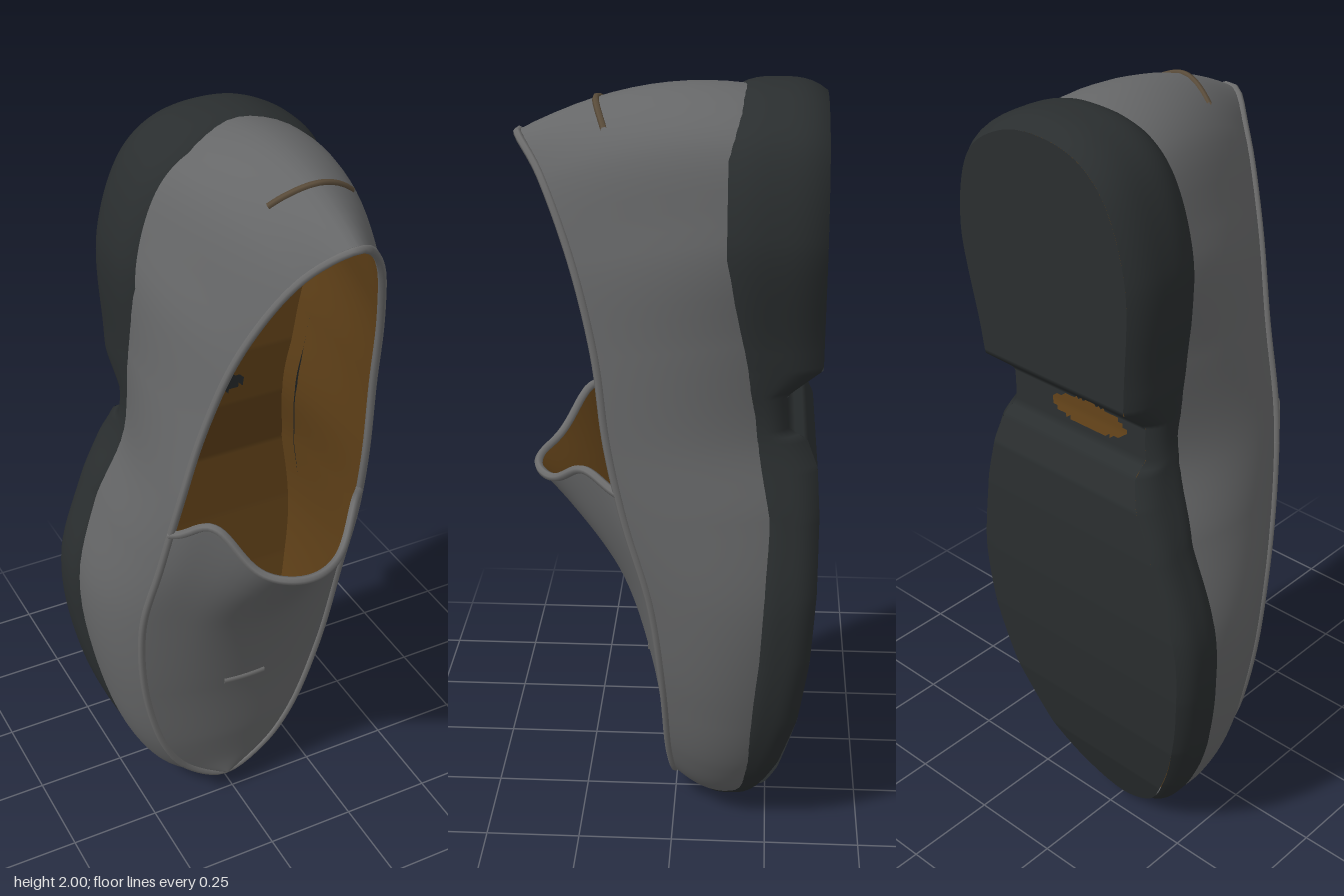
import * as THREE from 'three';
import { ParametricGeometry } from 'three/addons/geometries/ParametricGeometry.js';

const mat = (color) => new THREE.MeshStandardMaterial({ color, side: THREE.DoubleSide });
const LEATHER = mat(0x666768), EDGE = mat(0x6e6e6e), SOLE = mat(0x2a2e2f);
const LINING = mat(0x5f4018), STITCH = mat(0x5a4c3a);
const { lerp, smoothstep, clamp } = THREE.MathUtils;
const loop = (points) => new THREE.CatmullRomCurve3(points.map(([x, y, z = 0]) => new THREE.Vector3(x, y, z)), true);

// Matching stations round the foot: toe, left side, heel, right side
const lower = loop([
  [-.02, .03, -.2], [.12, .08, -.2], [.22, .22, -.22], [.29, .45, -.25], [.33, .75, -.27],
  [.31, 1, -.27], [.275, 1.2, -.25], [.29, 1.45, -.25], [.32, 1.7, -.25], [.27, 1.9, -.25],
  [.09, 1.975, -.25], [-.09, 1.9, -.25], [-.18, 1.7, -.25], [-.185, 1.45, -.25], [-.19, 1.2, -.25],
  [-.27, 1, -.27], [-.34, .75, -.27], [-.31, .45, -.25], [-.24, .22, -.22], [-.15, .08, -.2],
]);
const upper = loop([
  [-.02, .07, 0], [.1, .13, 0], [.18, .25, .01], [.26, .48, .02], [.3, .75, .05],
  [.305, .98, .11], [.3, 1.18, .15], [.293, 1.4, .175], [.272, 1.62, .225], [.21, 1.81, .3],
  [.12, 1.885, .36], [.02, 1.81, .3], [-.09, 1.62, .225], [-.163, 1.4, .175], [-.22, 1.18, .15],
  [-.255, .98, .11], [-.285, .75, .05], [-.27, .48, .02], [-.21, .25, .01], [-.13, .13, 0],
]);
const outline = loop([
  [-.02, 0], [.1, .05], [.2, .17], [.3, .42], [.35, .75], [.325, 1], [.29, 1.22], [.315, 1.42],
  [.365, 1.7], [.315, 1.9], [.2, 1.98], [.08, 2], [-.05, 1.975], [-.14, 1.9], [-.215, 1.7],
  [-.21, 1.42], [-.205, 1.22], [-.29, 1], [-.365, .75], [-.33, .42], [-.23, .17], [-.14, .05],
]);

// Direction away from the long axis of the foot
const outward = (p) => new THREE.Vector3(p.x - .03, p.y - clamp(p.y, .4, 1.6), 0).normalize();

// Side wall: a bulged strip from the lower to the upper loop
function wallPoint(u, v, inset, target) {
  const a = lower.getPoint(u % 1), out = outward(a);
  const bulge = .065 + .055 * smoothstep(a.y, 1.75, 1.95) - inset * 1.5;
  return target.copy(a).addScaledVector(out, -inset).lerp(upper.getPoint(u % 1), v)
    .addScaledVector(out, 2 * v * (1 - v) * bulge);
}

// Vamp: spans from seam to seam and rises to a tongue with two lobes
function vampPoint(k, t, inset, target) {
  const arch = Math.sin(Math.PI * t);
  const lobe = (centre) => Math.exp(-(((t - centre) / .1) ** 2));
  target.copy(upper.getPoint(1 - lerp(.003, .275, k))).lerp(upper.getPoint(lerp(.003, .265, k)), t);
  target.y += k ** 8 * (.095 * lobe(.14) + .055 * lobe(.87)) - .045 * k ** 4 * arch;
  target.z += (.012 + .215 * k ** 3 - inset) * arch;
  return target;
}

// Side profile of the sole as [y, z] pairs, without and with the heel block
const ARCH = [[0, -.21], [.2, -.28], [.4, -.325], [.6, -.35], [.8, -.36], [1, -.36], [1.2, -.3], [1.35, -.28], [2.1, -.28]];
const UNDERSIDE = [...ARCH.slice(0, 6), [1.12, -.352], [1.19, -.325], [1.215, -.28], [1.3, -.275], [1.37, -.357], [2.1, -.35]];
function profile(table, y) {
  const i = Math.max(1, table.findIndex(([py]) => py >= y));
  const [y0, z0] = table[i - 1], [y1, z1] = table[i];
  return lerp(z0, z1, clamp((y - y0) / (y1 - y0), 0, 1));
}

// Rounded edge running round sole and heel
function soleEdgePoint(u, v, inset, target) {
  target.copy(outline.getPoint(u % 1));
  const { y } = target;
  target.addScaledVector(outward(target), -inset * Math.abs(2 * v - 1) ** 3);
  target.z = lerp(profile(UNDERSIDE, y), profile(ARCH, y) + .15, v);
  return target;
}

// Plates spanning the outline from side to side
function acrossOutline(k, t, inset, target) {
  const half = lerp(.002, .498, k);
  const a = outline.getPoint(1 - half), b = outline.getPoint(half);
  a.addScaledVector(outward(a), -inset);
  b.addScaledVector(outward(b), -inset);
  return target.copy(a).lerp(b, t);
}
function treadPoint(k, t, inset, target) {
  acrossOutline(k, t, inset, target);
  target.z = profile(UNDERSIDE, target.y);
  return target;
}
function insolePoint(k, t, inset, target) {
  acrossOutline(k, t, inset, target);
  target.z = profile(ARCH, target.y) + .11;
  return target;
}

// Worn gap under the arch: drops the triangles inside an ellipse
function punch(geometry) {
  const p = geometry.attributes.position, index = geometry.index.array, kept = [];
  for (let i = 0; i < index.length; i += 3) {
    const tri = [index[i], index[i + 1], index[i + 2]];
    const mean = (get) => tri.reduce((sum, j) => sum + p[get](j), 0) / 3;
    if (((mean('getX') - .01) / .12) ** 2 + ((mean('getY') - 1.265) / .036) ** 2 > 1) kept.push(...tri);
  }
  geometry.setIndex(kept);
  return geometry;
}

export function createModel() {
  const model = new THREE.Group();
  const add = (name, geometry, material) => {
    const mesh = new THREE.Mesh(geometry, material);
    mesh.name = name;
    model.add(mesh);
  };
  const surface = (fn, inset, nu, nv) =>
    new ParametricGeometry((u, v, target) => fn(u, v, inset, target), nu, nv);
  const tube = (points, radius, closed = false) =>
    new THREE.TubeGeometry(new THREE.CatmullRomCurve3(points, closed), points.length * 2, radius, 6, closed);
  const sample = (n, fn) => Array.from({ length: n + 1 }, (_, i) => fn(i / n, new THREE.Vector3()));

  // Upper and lining
  add('sideWall', surface(wallPoint, 0, 120, 14), LEATHER);
  add('wallLining', surface(wallPoint, .022, 120, 14), LINING);
  add('vamp', surface(vampPoint, 0, 50, 36), LEATHER);
  add('vampLining', surface(vampPoint, .014, 50, 36), LINING);

  // Rolled edges, heel strip seam and toe crease
  add('seamAndCollarEdge', tube(upper.getPoints(80).slice(0, -1), .01, true), EDGE);
  add('tongueEdge', tube(sample(32, (t, p) => vampPoint(1, t, .004, p)), .011), EDGE);
  add('heelStripSeam', tube(sample(12, (t, p) => wallPoint(lerp(.465, .535, t), .7, 0, p)), .008), STITCH);
  add('vampCrease', tube(sample(8, (t, p) => vampPoint(.56, lerp(.4, .63, t), .004, p)), .011), EDGE);

  // Sole with its raised heel, and the floor inside
  add('soleEdge', surface(soleEdgePoint, .03, 320, 12), SOLE);
  add('tread', punch(surface(treadPoint, .03, 200, 30)), SOLE);
  add('insole', punch(surface(insolePoint, .045, 160, 30)), LINING);

  return model;
}
